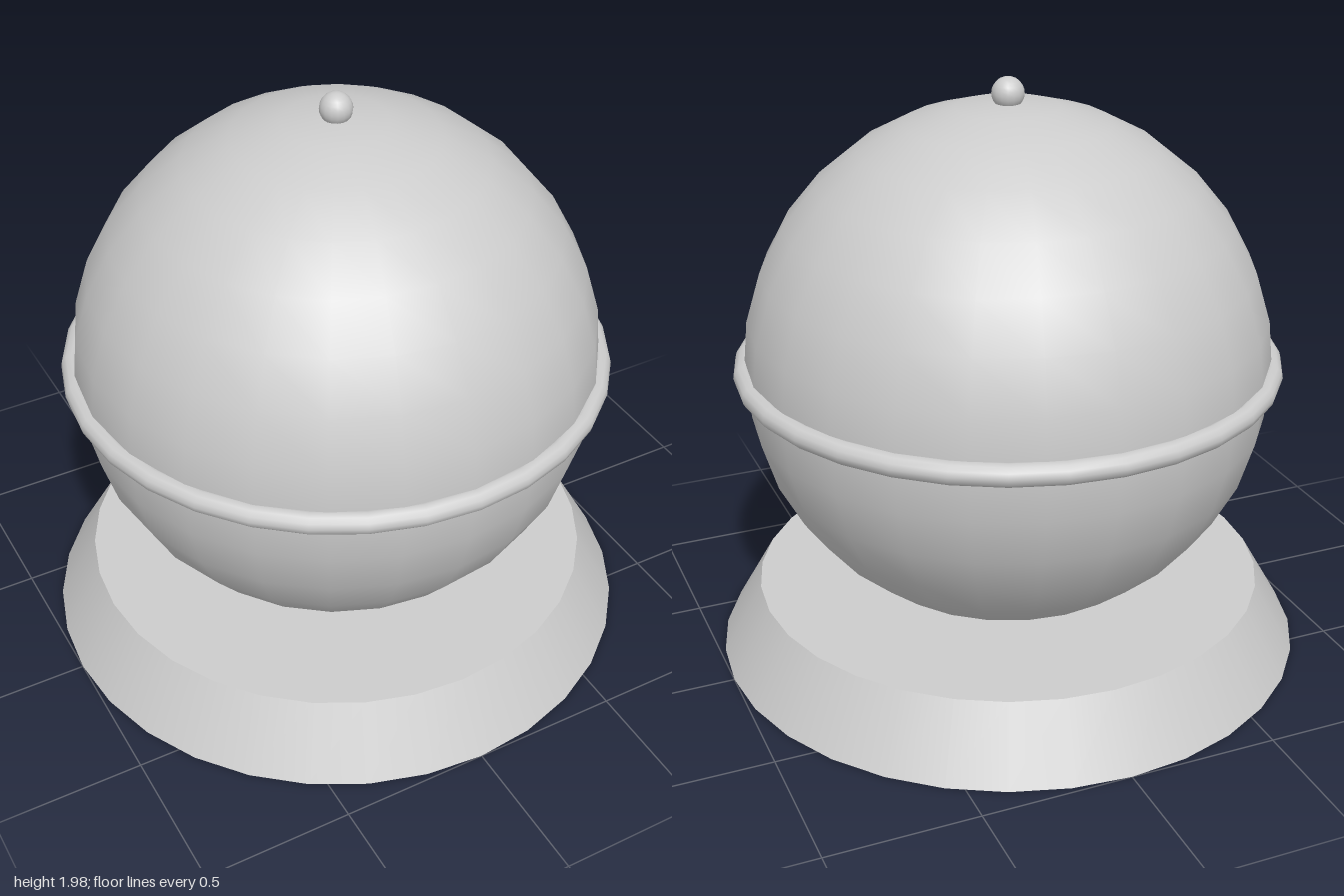
import * as THREE from 'three';

export function createModel() {
  const model = new THREE.Group();
  const grey = new THREE.MeshStandardMaterial({ color: 0xcccccc });
  grey.name = 'light grey';

  const add = (name, geometry, y) => {
    const mesh = new THREE.Mesh(geometry, grey);
    mesh.name = name;
    mesh.position.y = y;
    model.add(mesh);
    return mesh;
  };

  const baseHeight = 0.235;
  const globeRadius = 0.875;
  const globeY = 1.02;

  // Tapered round stand
  add('base', new THREE.CylinderGeometry(0.865, 1, baseHeight, 32), baseHeight / 2);

  // Globe, its underside sunk into the stand
  add('globe', new THREE.SphereGeometry(globeRadius, 24, 16), globeY);

  // Band around the equator
  add('equatorRing', new THREE.TorusGeometry(globeRadius, 0.037, 12, 32).rotateX(-Math.PI / 2), globeY);

  // Small ball on the crown
  add('topKnob', new THREE.SphereGeometry(0.053, 16, 12), 1.922);

  return model;
}
